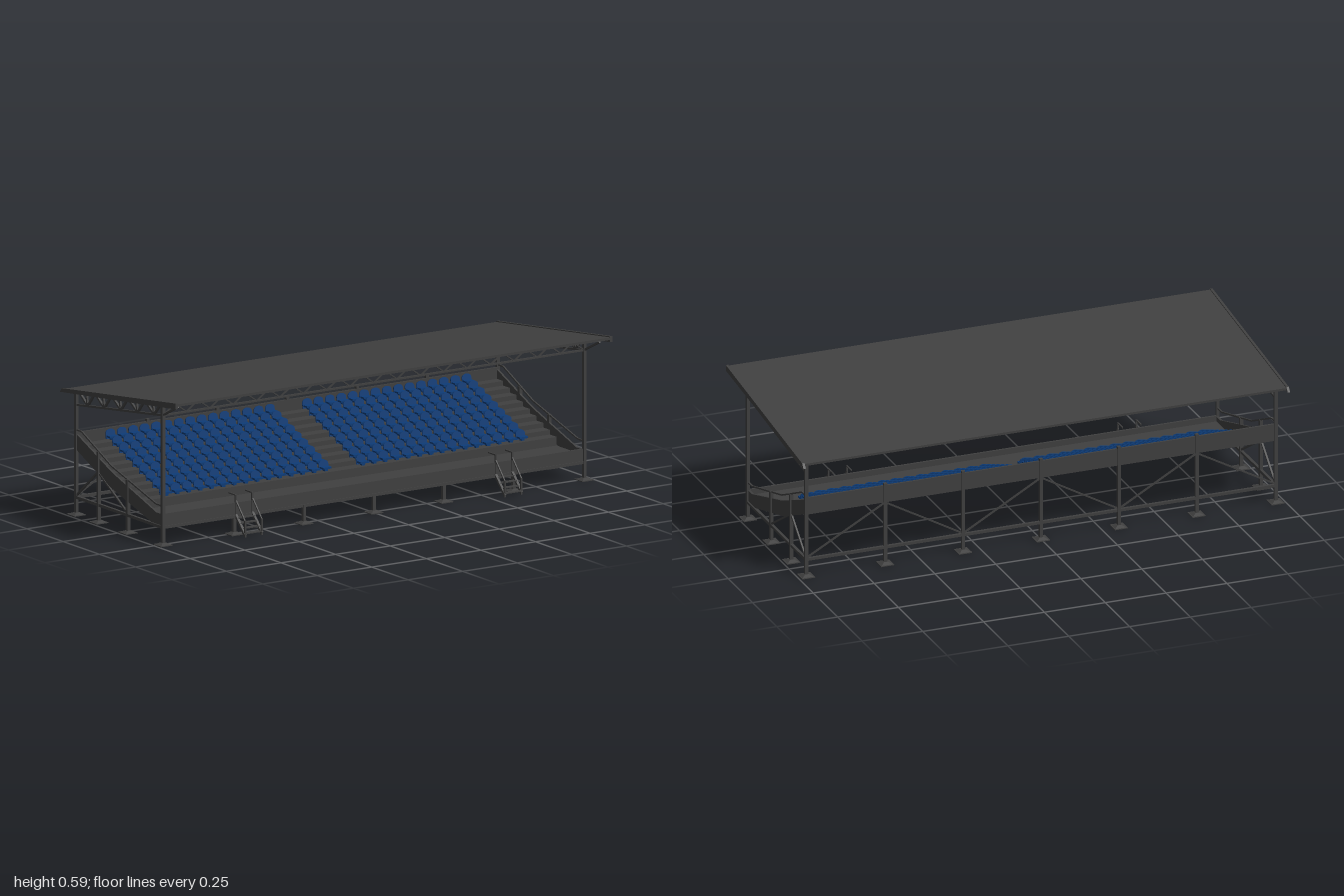
import * as THREE from 'three';
import { mergeGeometries } from 'three/addons/utils/BufferGeometryUtils.js';

export function createModel() {
  const root = new THREE.Group();
  root.name = 'grandstand';
  const steel = new THREE.MeshStandardMaterial({ color: 0x404040 });
  steel.name = 'dark grey';
  const blue = new THREE.MeshStandardMaterial({ color: 0x0d3c78 });
  blue.name = 'seat blue';

  const add = (name, geos, mat = steel) => {
    const mesh = new THREE.Mesh(mergeGeometries(geos.map(g => (g.index ? g.toNonIndexed() : g))), mat);
    mesh.name = name;
    root.add(mesh);
    return mesh;
  };
  const box = (w, h, d, x, y, z) => new THREE.BoxGeometry(w, h, d).translate(x, y, z);
  // Square bar between two points
  const bar = (a, b, t = 0.007) => {
    const p = new THREE.Vector3(...a), q = new THREE.Vector3(...b);
    const g = new THREE.BoxGeometry(t, t, p.distanceTo(q));
    const m = new THREE.Matrix4().lookAt(q, p, new THREE.Vector3(0, 1, 0.001));
    return g.applyMatrix4(m).translate(...p.add(q).multiplyScalar(0.5).toArray());
  };
  // Side profile given as [z, y], extruded along x
  const profile = (pts, width, x = 0) => {
    const s = new THREE.Shape(pts.map(p => new THREE.Vector2(...p)));
    return new THREE.ExtrudeGeometry(s, { depth: width, bevelEnabled: false })
      .rotateY(-Math.PI / 2).translate(x + width / 2, 0, 0);
  };
  const path = (x, pts, t) => pts.slice(1).map((p, i) => bar([x, pts[i][1], pts[i][0]], [x, p[1], p[0]], t));

  const EX = 0.965, ZF = 0.26, ZB = -0.338;
  const postXs = [-EX, -0.64, -0.32, 0, 0.32, 0.64, EX];
  const rows = 9, pitch = 0.0462, rise = 0.0182;
  const rowZ = r => 0.044 - r * pitch;
  const rowY = r => 0.134 + r * rise;

  // Stepped terrace with sloping underside
  const steps = [[0.258, 0.066], [0.258, 0.1], [0.085, 0.1]];
  for (let r = 0; r < rows; r++) {
    const z = rowZ(r) + 0.036;
    steps.push([z, rowY(r)], [r === rows - 1 ? -0.332 : z - pitch, rowY(r)]);
  }
  steps.splice(2, 1, [rowZ(0) + 0.036, 0.1]);
  steps.push([-0.332, 0.258], [-0.1, 0.157], [0.18, 0.078], [0.2, 0.066]);
  add('terrace', [profile(steps, 1.92)]);

  // Parapets
  const cheek = [[0.255, 0.075], [0.255, 0.12], [0.215, 0.12], [-0.09, 0.215], [-0.335, 0.317],
    [-0.335, 0.255], [-0.1, 0.155], [0.18, 0.076]];
  add('sideParapets', [-1, 1].map(s => profile(cheek, 0.008, s * 0.962)));
  add('frontParapet', [box(1.93, 0.058, 0.008, 0, 0.094, 0.258)]);
  add('backParapet', [box(1.93, 0.07, 0.008, 0, 0.29, -0.335)]);

  // Posts with flared feet
  const posts = [], feet = [];
  const post = (x, z, h, t = 0.013) => {
    posts.push(box(t, h, t, x, h / 2, z));
    feet.push(new THREE.CylinderGeometry(0.011, 0.038, 0.009, 4).rotateY(Math.PI / 4).toNonIndexed()
      .translate(x, 0.0055, z), box(0.054, 0.003, 0.054, x, 0.0015, z));
  };
  for (const x of postXs) {
    const end = Math.abs(x) === EX;
    post(x, ZF, end ? 0.56 : 0.075);
    post(x, ZB, end ? 0.485 : 0.335);
    if (end) {
      post(x, 0.018, 0.21);
      post(x, -0.184, 0.28);
    }
  }
  add('posts', posts);
  feet.forEach(g => g.computeVertexNormals());
  add('postFeet', feet);

  // Ground beams and diagonal braces
  const beams = [box(2 * EX, 0.011, 0.011, 0, 0.07, ZB), box(2 * EX, 0.011, 0.011, 0, 0.07, ZF)];
  const braces = [];
  for (const x of [-EX, EX]) {
    beams.push(box(0.011, 0.011, ZF - ZB, x, 0.07, (ZF + ZB) / 2));
    braces.push(bar([x, 0.077, 0.015], [x, 0.197, -0.184]), bar([x, 0.197, -0.188], [x, 0.075, ZB]));
  }
  for (let i = 0; i < 6; i++) {
    const up = i % 2 === 0;
    braces.push(bar([postXs[i], up ? 0.075 : 0.255, ZB], [postXs[i + 1], up ? 0.255 : 0.075, ZB], 0.006));
  }
  add('groundBeams', beams);
  add('braces', braces);

  // Side handrails
  const rail = [[0.26, 0.153], [0.215, 0.153], [-0.095, 0.24], [-0.3, 0.334], [ZB, 0.334]];
  add('handrails', [-EX, EX].flatMap(x => path(x, rail, 0.006)));

  // Front access stairs
  for (const s of [-1, 1]) {
    const geos = [];
    for (const dx of [-0.038, 0.038]) {
      const x = s * 0.595 + dx;
      geos.push(bar([x, 0.008, 0.327], [x, 0.075, 0.262], 0.01), bar([x, 0.062, 0.326], [x, 0.135, 0.26], 0.005),
        box(0.007, 0.065, 0.007, x, 0.0325, 0.326), box(0.007, 0.085, 0.007, x, 0.112, 0.262),
        bar([x, 0.153, 0.262], [x, 0.153, 0.215], 0.005));
    }
    for (let i = 0; i < 4; i++) geos.push(box(0.074, 0.004, 0.018, s * 0.595, 0.014 + i * 0.017, 0.321 - i * 0.0165));
    add(s > 0 ? 'leftStairs' : 'rightStairs', geos);
  }

  // Seats: rounded back plus cushion, two blocks of fifteen columns
  const w = 0.021;
  const back = new THREE.Shape();
  back.moveTo(-w, 0.002);
  back.lineTo(w, 0.002);
  back.lineTo(w, 0.026);
  back.absellipse(0, 0.026, w, 0.014, 0, Math.PI, false);
  back.closePath();
  const seat = mergeGeometries([
    new THREE.ExtrudeGeometry(back, { depth: 0.004, bevelEnabled: false, curveSegments: 6 })
      .rotateX(-0.12).translate(0, 0, -0.002),
    box(0.038, 0.007, 0.024, 0, 0.013, 0.013).toNonIndexed(),
    box(0.014, 0.012, 0.014, 0, 0.005, 0.01).toNonIndexed(),
  ]);
  for (const s of [-1, 1]) {
    const seats = [];
    for (let r = 0; r < rows; r++)
      for (let c = 0; c < 15; c++)
        seats.push(seat.clone().translate(s * (0.085 + c * 0.0522), rowY(r), rowZ(r)));
    add(s > 0 ? 'leftSeats' : 'rightSeats', seats, blue);
  }

  // Sloping roof and its end trims
  add('roof', [profile([[0.4, 0.584], [-0.385, 0.488], [-0.385, 0.479], [0.4, 0.574]], 1.985)]);
  add('roofTrims', [-1, 1].map(s =>
    profile([[0.4, 0.588], [-0.385, 0.492], [-0.4, 0.475], [0.4, 0.565]], 0.01, s * 0.995)));

  // Roof trusses at both ends
  const topY = z => 0.522 + z * 0.117, lowY = z => 0.476 + z * 0.13;
  const truss = [];
  for (const x of [-EX, EX]) {
    truss.push(bar([x, topY(ZF), ZF], [x, topY(ZB), ZB], 0.008), bar([x, lowY(ZF), ZF], [x, lowY(ZB), ZB], 0.008),
      bar([x, 0.562, 0.365], [x, 0.51, ZF], 0.007));
    for (let i = 0; i < 5; i++) {
      const z = 0.2 - i * 0.1146;
      for (const dz of [0.045, -0.009, -0.058])
        truss.push(bar([x, lowY(z), z], [x, topY(z + dz), z + dz], 0.008));
    }
  }
  add('endTrusses', truss);

  // Long truss above the front edge of the terrace
  const long = [bar([-EX, 0.51, ZF], [EX, 0.51, ZF], 0.007), bar([-EX, 0.548, ZF], [EX, 0.548, ZF], 0.007)];
  const n = 36, step = (2 * EX) / n;
  for (let i = 0; i < n; i++)
    long.push(bar([-EX + i * step, i % 2 ? 0.548 : 0.51, ZF], [-EX + (i + 1) * step, i % 2 ? 0.51 : 0.548, ZF], 0.005));
  add('frontTruss', long);

  return root;
}
